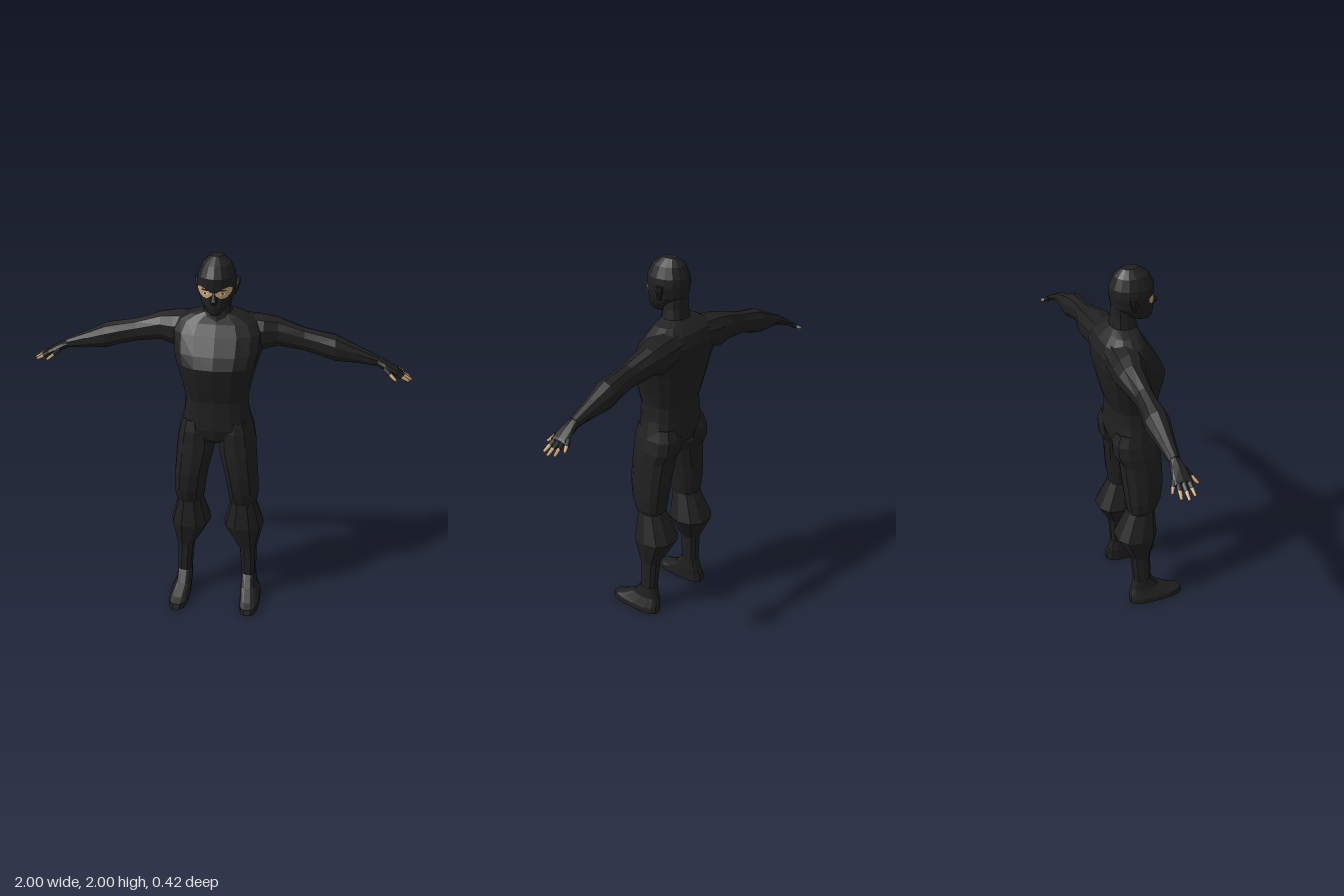
import * as THREE from 'three';

const mat = (name, color) => Object.assign(new THREE.MeshStandardMaterial({ color }), { name });

// Superellipse offset on a unit ring
const unit = (a, p) => [Math.cos(a), Math.sin(a)].map(v => Math.sign(v) * Math.abs(v) ** (2 / p));

// Faceted geometry from a triangle soup of points
function facets(tris) {
  const g = new THREE.BufferGeometry().setFromPoints(tris);
  g.computeVertexNormals();
  return g;
}

// Capped skin over closed rings of points
function loft(rings) {
  const n = rings[0].length, tris = [];
  const mid = r => r.reduce((s, p) => s.add(p), new THREE.Vector3()).divideScalar(n);
  const first = rings[0], last = rings[rings.length - 1];
  const top = mid(first), end = mid(last);
  for (let j = 0; j < n; j++) {
    const k = (j + 1) % n;
    for (let i = 0; i + 1 < rings.length; i++) {
      const a = rings[i], b = rings[i + 1];
      tris.push(a[j], a[k], b[j], a[k], b[k], b[j]);
    }
    tris.push(top, first[k], first[j], end, last[j], last[k]);
  }
  return facets(tris);
}

// Point on a horizontal section: y, left and right limits, front and back limits
function onSection([y, x0, x1, zf, zb], a, p, grow = 0) {
  const [u, v] = unit(a, p);
  return new THREE.Vector3((x0 + x1) / 2 + u * ((x1 - x0) / 2 + grow), y, (zf + zb) / 2 + v * ((zf - zb) / 2 + grow));
}
const ringAngles = n => Array.from({ length: n }, (_, j) => (j / n) * Math.PI * 2);
const upright = (rows, n = 14, p = 2.4) => loft(rows.map(r => ringAngles(n).map(a => onSection(r, a, p))));
const centred = rows => rows.map(([y, w, zf, zb]) => [y, -w, w, zf, zb]);

// Limb running along x: x, top, bottom, front, back
const sideways = (rows, n = 10, p = 2.2) => loft(rows.map(([x, t, b, zf, zb]) => ringAngles(n).map(a => {
  const [u, v] = unit(a, p);
  return new THREE.Vector3(x, (t + b) / 2 + u * (t - b) / 2, (zf + zb) / 2 + v * (zf - zb) / 2);
})));

const torsoRows = centred([
  [1.70, 0.075, 0.0, -0.125], [1.68, 0.14, 0.01, -0.15], [1.645, 0.205, 0.025, -0.19],
  [1.59, 0.235, 0.06, -0.212], [1.5, 0.23, 0.115, -0.205], [1.44, 0.212, 0.143, -0.195],
  [1.41, 0.203, 0.138, -0.19], [1.32, 0.18, 0.12, -0.17], [1.24, 0.165, 0.1, -0.145],
  [1.16, 0.172, 0.1, -0.148], [1.08, 0.192, 0.1, -0.155], [1.02, 0.19, 0.085, -0.14], [0.985, 0.06, 0.05, -0.09]]);

const headRows = centred([
  [2.0, 0.03, 0.02, -0.06], [1.965, 0.072, 0.072, -0.1], [1.91, 0.096, 0.1, -0.124], [1.87, 0.1, 0.097, -0.127],
  [1.81, 0.09, 0.094, -0.118], [1.765, 0.07, 0.098, -0.08], [1.73, 0.042, 0.094, -0.03], [1.715, 0.025, 0.085, 0.01]]);

const legRows = [
  [1.12, 0.03, 0.178, 0.085, -0.14], [1.06, 0.015, 0.197, 0.098, -0.16], [0.99, 0.006, 0.211, 0.1, -0.155],
  [0.93, 0.014, 0.215, 0.104, -0.125], [0.8, 0.045, 0.225, 0.106, -0.115], [0.7, 0.06, 0.23, 0.09, -0.105],
  [0.64, 0.068, 0.225, 0.07, -0.095], [0.615, 0.076, 0.215, 0.058, -0.09]];
const shinRows = [
  [0.63, 0.08, 0.212, 0.055, -0.085], [0.46, 0.037, 0.257, 0.066, -0.165], [0.31, 0.126, 0.222, 0.025, -0.085],
  [0.14, 0.142, 0.222, 0.027, -0.072]];
const footRows = [
  [0.15, 0.142, 0.222, 0.025, -0.07], [0.085, 0.14, 0.228, 0.075, -0.085], [0.045, 0.143, 0.245, 0.155, -0.098],
  [0.03, 0.143, 0.252, 0.2, -0.1], [0.0, 0.145, 0.253, 0.21, -0.1]];

const armRows = [
  [0.1, 1.67, 1.5, -0.02, -0.2], [0.235, 1.662, 1.475, -0.025, -0.202], [0.305, 1.645, 1.495, -0.055, -0.197],
  [0.44, 1.6, 1.475, -0.07, -0.165], [0.52, 1.585, 1.455, -0.065, -0.17], [0.6, 1.57, 1.43, -0.055, -0.182],
  [0.7, 1.52, 1.425, -0.075, -0.165], [0.82, 1.465, 1.412, -0.095, -0.15]];
const handRows = [
  [0.81, 1.468, 1.412, -0.096, -0.15], [0.86, 1.44, 1.393, -0.08, -0.162], [0.915, 1.405, 1.373, -0.075, -0.172],
  [0.925, 1.396, 1.374, -0.08, -0.168]];

// Finger root and tip; the last one is the thumb
const fingers = [
  [[0.895, 1.394, -0.16], [0.95, 1.362, -0.19]], [[0.91, 1.389, -0.145], [0.985, 1.348, -0.158]],
  [[0.915, 1.387, -0.122], [0.997, 1.344, -0.124]], [[0.91, 1.387, -0.095], [0.983, 1.348, -0.09]],
  [[0.855, 1.41, -0.09], [0.918, 1.363, -0.048]]];

export function createModel() {
  const model = new THREE.Group();
  const cloth = mat('black cloth', 0x202020);
  const skin = mat('skin', 0xcda576);
  const eyeWhite = mat('eye white', 0xd8d4cc);
  const dark = mat('dark brown', 0x3a2a1c);
  const add = (parent, name, geometry, material) => {
    const m = new THREE.Mesh(geometry, material);
    m.name = name;
    parent.add(m);
    return m;
  };

  add(model, 'torso', upright(torsoRows, 16, 2.5), cloth);
  add(model, 'head', upright(headRows, 16, 2.1), cloth);
  add(model, 'neck', upright(centred([
    [1.82, 0.06, -0.01, -0.115], [1.75, 0.066, 0.0, -0.118], [1.7, 0.075, 0.01, -0.125], [1.655, 0.115, 0.02, -0.17]]), 12), cloth);
  add(model, 'nose', upright(centred([
    [1.84, 0.008, 0.102, 0.07], [1.798, 0.02, 0.124, 0.07], [1.775, 0.014, 0.102, 0.07]]), 6, 2), cloth);

  // Head surface point at any height between the eye-level sections
  const face = (a, y, grow) => {
    const t = (1.87 - y) / 0.06;
    const row = headRows[3].map((v, i) => THREE.MathUtils.lerp(v, headRows[4][i], t));
    return onSection(row, a, 2.1, grow);
  };

  // Uncovered strip around the eyes: offset from centre, upper and lower edge
  const strip = [[0, 1.84, 1.826], [0.16, 1.842, 1.822], [0.35, 1.857, 1.81], [0.6, 1.866, 1.81], [0.85, 1.868, 1.822], [1.05, 1.86, 1.838]];
  const edges = [...strip.slice(1).reverse().map(([a, t, b]) => [-a, t, b]), ...strip];
  const tris = [];
  for (let i = 0; i + 1 < edges.length; i++) {
    const [a, c] = [edges[i], edges[i + 1]].map(([u, t, b]) => [face(Math.PI / 2 + u, t, 0.004), face(Math.PI / 2 + u, b, 0.004)]);
    tris.push(a[0], c[0], a[1], c[0], c[1], a[1]);
  }
  add(model, 'eyeOpening', facets(tris), skin);

  for (const side of [1, -1]) {
    const half = new THREE.Group();
    half.name = side > 0 ? 'leftSide' : 'rightSide';
    half.scale.x = side;
    model.add(half);

    add(half, 'thigh', upright(legRows, 12), cloth);
    add(half, 'shin', upright(shinRows, 10), cloth);
    add(half, 'foot', upright(footRows, 14, 2.8), cloth);
    add(half, 'arm', sideways(armRows), cloth);
    add(half, 'hand', sideways(handRows, 8), cloth);

    // Gloved finger roots with bare tips
    for (const [root, tip] of fingers) {
      const a = new THREE.Vector3(...root), b = new THREE.Vector3(...tip), split = a.clone().lerp(b, 0.5);
      const segment = (name, p, q, r0, r1, material) => {
        const m = add(half, name, new THREE.CylinderGeometry(r1, r0, p.distanceTo(q), 6).toNonIndexed(), material);
        m.position.copy(p).lerp(q, 0.5);
        m.quaternion.setFromUnitVectors(new THREE.Vector3(0, 1, 0), q.clone().sub(p).normalize());
      };
      segment('gloveFinger', a, split, 0.014, 0.012, cloth);
      segment('fingertip', split, b, 0.0105, 0.007, skin);
    }

    // Ear under the hood
    const ear = add(half, 'ear', upright([
      [1.878, 0.092, 0.116, -0.02, -0.055], [1.85, 0.085, 0.114, -0.01, -0.05], [1.8, 0.078, 0.094, -0.005, -0.03]], 6), cloth);
    ear.position.z = -0.005;

    // Eye plates and brow
    const plate = (name, w, h, y, grow, material) => {
      const m = add(half, name, new THREE.CircleGeometry(1, 10), material);
      m.scale.set(w, h, 1);
      m.position.copy(face(Math.PI / 2 - 0.42, y, grow));
      m.rotation.y = 0.4;
    };
    plate('eyeWhite', 0.015, 0.007, 1.836, 0.006, eyeWhite);
    plate('iris', 0.006, 0.006, 1.837, 0.0075, dark);
    plate('brow', 0.02, 0.0045, 1.855, 0.007, dark);
  }
  return model;
}
